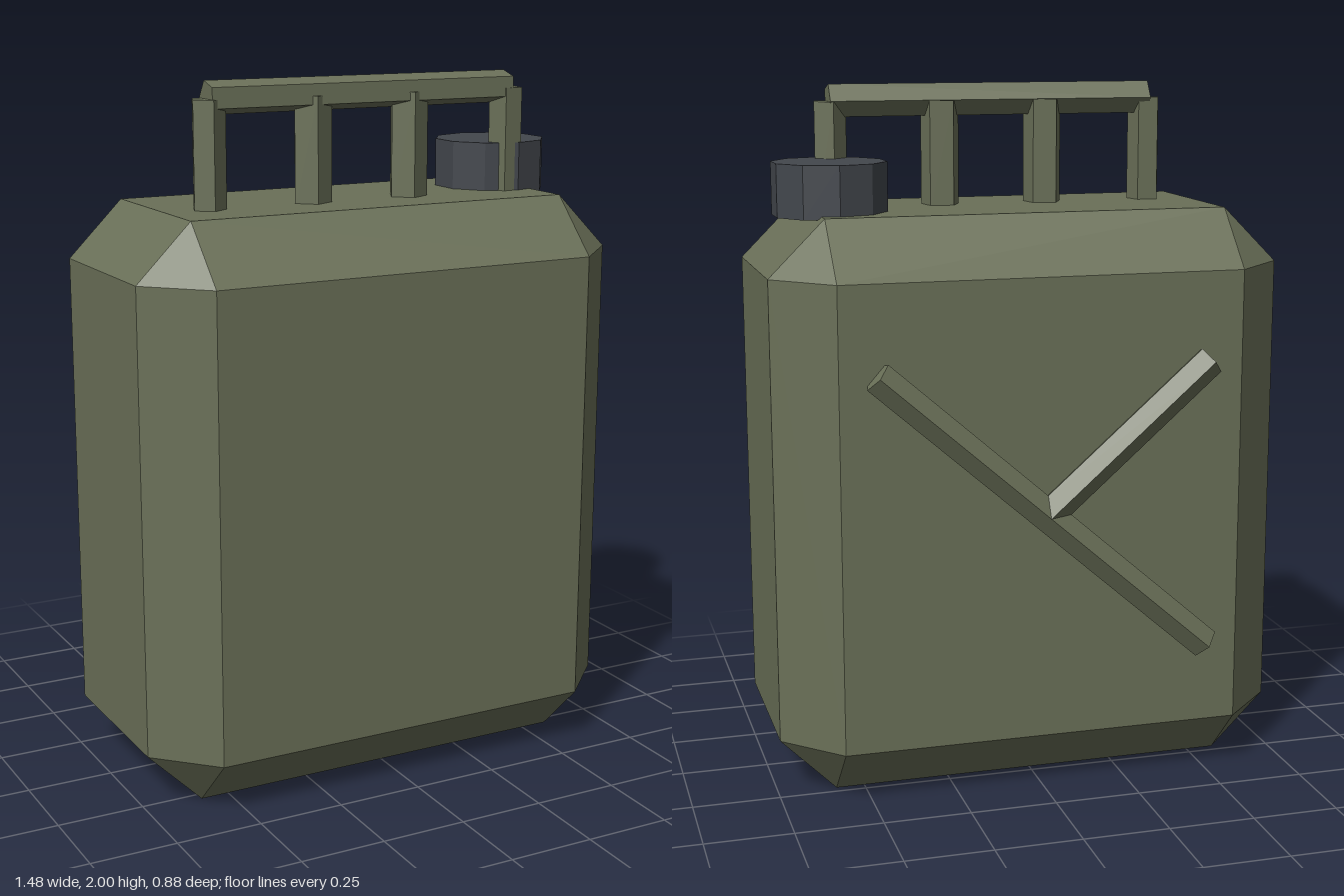
import * as THREE from 'three';
import { ConvexGeometry } from 'three/addons/geometries/ConvexGeometry.js';

const olive = new THREE.MeshStandardMaterial({ color: 0x6a7058, flatShading: true });
olive.name = 'olive paint';
const charcoal = new THREE.MeshStandardMaterial({ color: 0x43474d, flatShading: true });
charcoal.name = 'charcoal cap';

// box with every edge bevelled by c
function bevelledBox(hx, hy, hz, c) {
  const points = [];
  for (const x of [-1, 1]) for (const y of [-1, 1]) for (const z of [-1, 1]) {
    points.push(
      new THREE.Vector3(x * hx, y * (hy - c), z * (hz - c)),
      new THREE.Vector3(x * (hx - c), y * hy, z * (hz - c)),
      new THREE.Vector3(x * (hx - c), y * (hy - c), z * hz));
  }
  return new ConvexGeometry(points);
}

// five-sided rod from a to b; "edge" is the direction of one of its long edges
function rod(name, a, b, radius, edge) {
  const start = new THREE.Vector3(...a), end = new THREE.Vector3(...b);
  const along = end.clone().sub(start);
  const mesh = new THREE.Mesh(new THREE.CylinderGeometry(radius, radius, along.length(), 5), olive);
  along.normalize();
  const out = new THREE.Vector3(...edge).normalize();
  const side = along.clone().cross(out);
  mesh.quaternion.setFromRotationMatrix(new THREE.Matrix4().makeBasis(side, along, out));
  mesh.position.copy(start).add(end).multiplyScalar(0.5);
  mesh.name = name;
  return mesh;
}

export function createModel() {
  const model = new THREE.Group();
  model.name = 'fuelCan';

  // tank
  const tank = new THREE.Mesh(bevelledBox(0.742, 0.825, 0.412, 0.16), olive);
  tank.position.set(0, 0.825, 0.028);
  tank.name = 'tank';
  model.add(tank);

  // ten-sided filler cap
  const cap = new THREE.Mesh(new THREE.CylinderGeometry(0.165, 0.165, 0.15, 10), charcoal);
  cap.position.set(0.532, 1.715, -0.027);
  cap.name = 'fillerCap';
  model.add(cap);

  // carrying handle: a grip on four posts (x, z, radius, edge angle)
  const handle = new THREE.Group();
  handle.name = 'handle';
  handle.add(rod('grip', [-0.45, 1.953, 0.095], [0.51, 1.953, 0.095], 0.049, [0, 0.94, -0.34]));
  const posts = [
    [-0.448, 0.095, 0.05, 93],
    [-0.128, 0.088, 0.058, 98],
    [0.182, 0.088, 0.058, 98],
    [0.508, 0.095, 0.05, 47],
  ];
  for (const [x, z, r, degrees] of posts) {
    const t = THREE.MathUtils.degToRad(degrees);
    handle.add(rod('handlePost', [x, 1.63, z], [x, 1.95, z], r, [Math.cos(t), 0, Math.sin(t)]));
  }
  model.add(handle);

  // raised ribs on the back
  const z = -0.394;
  model.add(rod('longRib', [0.48, 1.24, z], [-0.48, 0.4, z], 0.047, [0, 0, -1]));
  model.add(rod('shortRib', [0, 0.82, z], [-0.48, 1.24, z], 0.047, [0, 0, -1]));

  return model;
}
